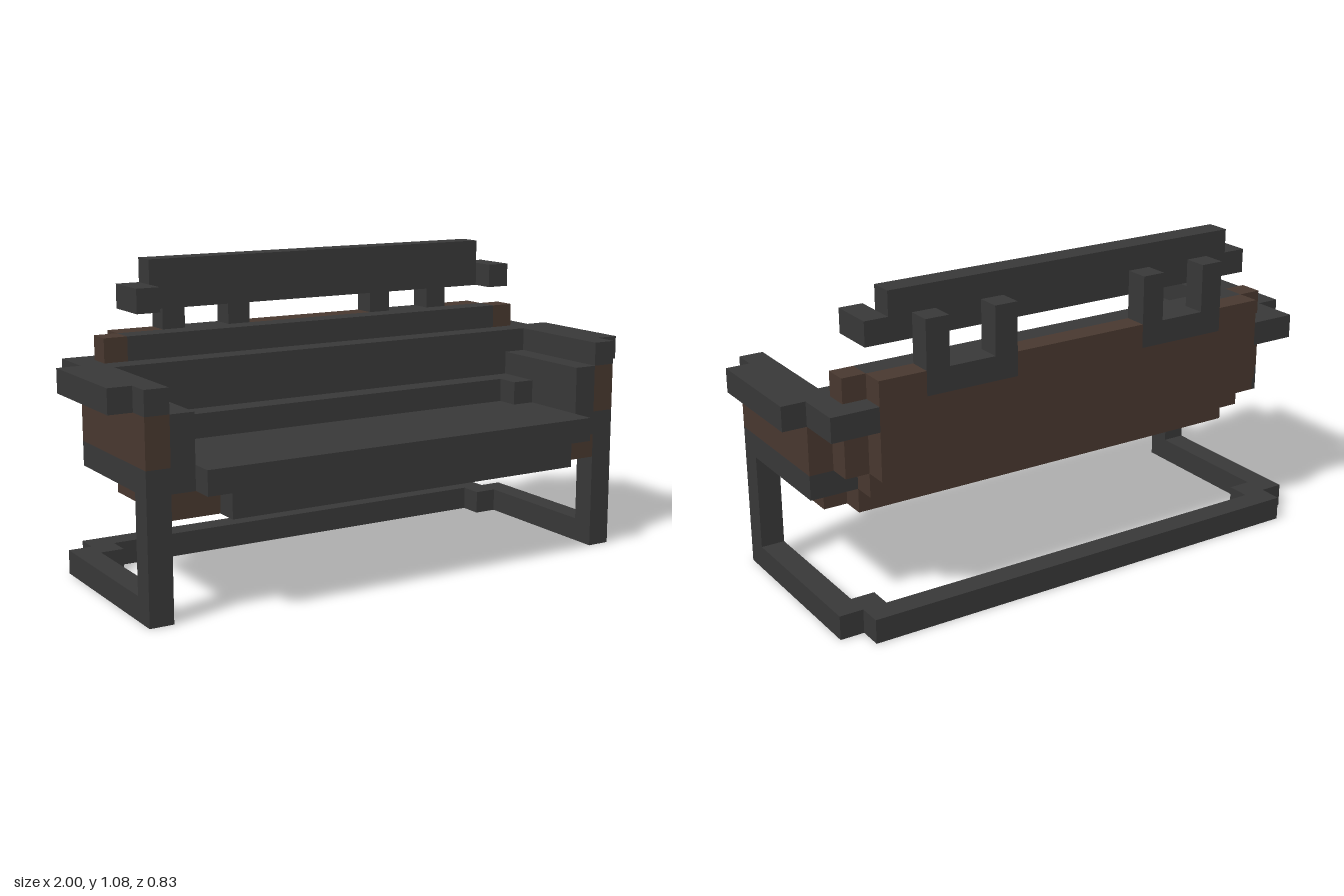
import * as THREE from 'three';

const U = 1 / 12; // one block of the grid

export function createModel() {
  const sofa = new THREE.Group();
  sofa.name = 'sofa';
  const charcoal = new THREE.MeshStandardMaterial({ name: 'charcoal', color: 0x383838 });
  const brown = new THREE.MeshStandardMaterial({ name: 'darkBrown', color: 0x48382f });

  // Box given by its low and high limits, counted in blocks
  function block(name, mat, [x0, x1], [y0, y1], [z0, z1]) {
    const mesh = new THREE.Mesh(new THREE.BoxGeometry((x1 - x0) * U, (y1 - y0) * U, (z1 - z0) * U), mat);
    mesh.position.set((x0 + x1) * U / 2, (y0 + y1) * U / 2, (z0 + z1) * U / 2);
    mesh.name = name;
    sofa.add(mesh);
  }
  // The same block on both sides
  function pair(name, mat, [x0, x1], y, z) {
    block(name + 'Left', mat, [x0, x1], y, z);
    block(name + 'Right', mat, [-x1, -x0], y, z);
  }

  // Floor frame and front legs
  pair('leg', charcoal, [10, 11], [1, 5], [3, 4]);
  pair('floorRunner', charcoal, [10, 11], [0, 1], [-4, 4]);
  pair('floorCorner', charcoal, [9, 10], [0, 1], [-5, -3]);
  block('floorRearBar', charcoal, [-9, 9], [0, 1], [-5, -4]);

  // Stepped underside
  block('seatBase', brown, [-10, 10], [4, 5], [-1, 4]);
  block('seatBaseRear', brown, [-9, 9], [4, 5], [-2, -1]);
  block('lowerBack', brown, [-9, 9], [5, 6], [-3, -2]);

  // Seat cushion
  block('seat', charcoal, [-9, 9], [5, 6], [-2, 5]);
  block('seatLip', charcoal, [-8, 8], [4, 5], [4, 5]);
  block('seatStep', charcoal, [-8, 8], [6, 7], [-1, 0]);
  pair('seatStepCorner', charcoal, [8, 9], [6, 7], [-1, 1]);

  // Arms
  pair('sideRail', charcoal, [10, 11], [5, 6], [-2, 4]);
  pair('armPanel', brown, [10, 11], [6, 8], [-2, 4]);
  pair('innerArm', charcoal, [9, 10], [5, 8], [-2, 4]);
  pair('armTop', charcoal, [10, 11], [8, 9], [-4, 4]);
  pair('armOverhang', charcoal, [11, 12], [8, 9], [-2, 3]);

  // Backrest
  block('backCushion', charcoal, [-9, 9], [6, 9], [-3, -1]);
  block('backCushionTop', charcoal, [-9, 9], [9, 10], [-3, -2]);
  pair('backShoulder', charcoal, [9, 10], [8, 9], [-4, -1]);
  pair('backCorner', brown, [9, 10], [6, 8], [-3, -2]);
  pair('backCornerTop', brown, [9, 10], [9, 10], [-3, -2]);
  block('backPanel', brown, [-9, 9], [6, 9], [-4, -3]);
  block('backPanelTopMiddle', brown, [-3, 3], [9, 10], [-4, -3]);
  pair('backPanelTopEnd', brown, [7, 9], [9, 10], [-4, -3]);

  // Headrest on its two brackets
  pair('bracketBase', charcoal, [3, 7], [9, 10], [-4, -3]);
  for (const x of [3, 6]) pair('bracketPost', charcoal, [x, x + 1], [10, 12], [-4, -3]);
  block('headrest', charcoal, [-8, 8], [11, 13], [-3, -2]);
  pair('headrestEnd', charcoal, [8, 9], [11, 12], [-3, -1]);

  return sofa;
}
